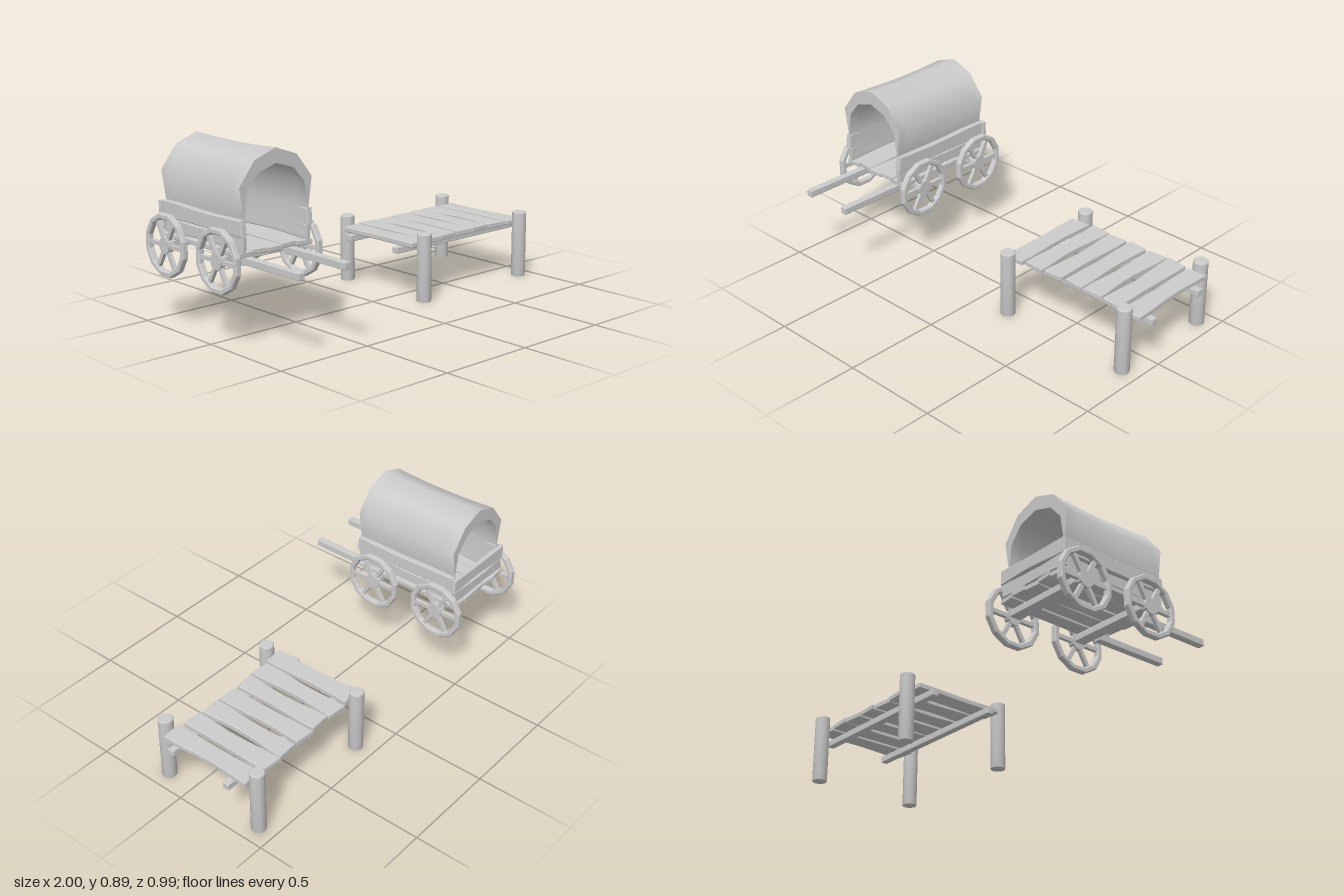
import * as THREE from 'three';
import { toCreasedNormals } from 'three/addons/utils/BufferGeometryUtils.js';
import { RoundedBoxGeometry } from 'three/addons/geometries/RoundedBoxGeometry.js';

const smooth = new THREE.MeshStandardMaterial({ color: 0xcccccc });
const faceted = new THREE.MeshStandardMaterial({ color: 0xcccccc, flatShading: true });

function add(parent, name, geometry, x, y, z, material = faceted) {
  const mesh = new THREE.Mesh(geometry, material);
  mesh.name = name;
  mesh.position.set(x, y, z);
  parent.add(mesh);
  return mesh;
}

const beam = (w, h, d) => new RoundedBoxGeometry(w, h, d, 1, 0.004);

// Hand-cut board: length along y, width along x, thickness along z
function plankGeometry(length, width, thickness, seed, waist = 0.008) {
  const bevel = 0.004, steps = 8, points = [];
  for (const side of [1, -1]) {
    for (let i = 0; i <= steps; i++) {
      const t = side * (2 * i / steps - 1);
      const wave = 0.4 * waist * Math.sin(2.6 * t + seed * 1.7 + side);
      const half = width / 2 - bevel - waist * (0.5 + 0.5 * Math.cos(Math.PI * t)) + wave;
      const skew = 0.004 * side * Math.sin(seed * 2.3);
      points.push(new THREE.Vector2(side * half, t * (length / 2 - bevel) + skew));
    }
  }
  const g = new THREE.ExtrudeGeometry(new THREE.Shape(points), {
    depth: thickness - 2 * bevel, bevelThickness: bevel, bevelSize: bevel, bevelSegments: 1,
  });
  return g.translate(0, 0, bevel - thickness / 2);
}

// Wheel with a twelve-sided rim, six spokes and a hub, axle along x
function createWheel(name) {
  const wheel = new THREE.Group();
  wheel.name = name;
  const rimProfile = [
    [0.126, -0.011], [0.132, -0.016], [0.149, -0.016], [0.154, -0.011],
    [0.154, 0.011], [0.149, 0.016], [0.132, 0.016], [0.126, 0.011], [0.126, -0.011],
  ].map(([r, h]) => new THREE.Vector2(r, h));
  const rim = new THREE.LatheGeometry(rimProfile, 12, Math.PI / 12).rotateZ(Math.PI / 2);
  add(wheel, 'rim', rim, 0, 0, 0);
  for (let i = 0; i < 6; i++) {
    const spoke = new THREE.BoxGeometry(0.018, 0.1, 0.02).translate(0, 0.08, 0);
    add(wheel, 'spoke', spoke, 0, 0, 0).rotation.x = Math.PI / 2 + i * Math.PI / 3;
  }
  const hub = new THREE.CylinderGeometry(0.04, 0.04, 0.03, 12).rotateZ(Math.PI / 2);
  add(wheel, 'hub', hub, 0, 0, 0);
  return wheel;
}

// Arched canvas: cross-sections along z, thick at the crown, thin at the foot
function canvasGeometry(zFront, zBack) {
  const halfOuter = [[-0.178, 0.47], [-0.186, 0.6], [-0.207, 0.74], [-0.12, 0.852]];
  const halfInner = [[-0.172, 0.47], [-0.18, 0.6], [-0.163, 0.72], [-0.1, 0.793]];
  const mirror = (half, top) => [...half, [0, top], ...half.map(([x, y]) => [-x, y]).reverse()];
  const outer = mirror(halfOuter, 0.895);
  const ring = [...outer, ...mirror(halfInner, 0.825).reverse()];
  const n = outer.length, m = ring.length, sections = 10;
  const positions = [], index = [];
  for (let s = 0; s <= sections; s++) {
    const t = s / sections, sag = Math.sin(Math.PI * t);
    for (const [x, y] of ring) {
      const lift = Math.max(0, (y - 0.6) / 0.3);
      positions.push(x * (1 - 0.05 * sag), y - 0.009 * sag * lift, zFront + (zBack - zFront) * t);
    }
  }
  const quad = (a, b, c, d) => index.push(a, b, c, a, c, d);
  for (let s = 0; s < sections; s++) {
    for (let i = 0; i < m; i++) {
      const j = (i + 1) % m, a = s * m, b = a + m;
      quad(a + i, a + j, b + j, b + i);
    }
  }
  const e = sections * m;
  for (let i = 0; i < n - 1; i++) {
    const p = m - 1 - i;
    quad(i, p, p - 1, i + 1);
    quad(e + i, e + i + 1, e + p - 1, e + p);
  }
  const g = new THREE.BufferGeometry();
  g.setAttribute('position', new THREE.Float32BufferAttribute(positions, 3));
  g.setIndex(index);
  return toCreasedNormals(g, 0.95);
}

function createWagon() {
  const wagon = new THREE.Group();
  wagon.name = 'wagon';
  wagon.position.x = -0.748;

  // Wheels and axles
  for (const [end, z] of [['front', 0.05], ['back', -0.345]]) {
    add(wagon, end + 'Axle', beam(0.44, 0.034, 0.06), 0, 0.402, z);
    for (const [side, x] of [['Left', 0.236], ['Right', -0.236]]) {
      const wheel = createWheel(end + side + 'Wheel');
      wheel.position.set(x, 0.395, z);
      wagon.add(wheel);
    }
  }

  // Pulling shafts
  for (const x of [-0.132, 0.132]) add(wagon, 'shaft', beam(0.036, 0.036, 0.42), x, 0.393, 0.29);

  // Floor boards running lengthwise
  for (let i = 0; i < 5; i++) {
    const floor = plankGeometry(0.605, 0.082, 0.026, i + 1, 0.005).rotateX(-Math.PI / 2);
    add(wagon, 'floorBoard', floor, (i - 2) * 0.085, 0.434 + (i % 2) * 0.004, -0.135 - (i % 2) * 0.006);
  }

  // Side walls: two boards each
  const toSide = new THREE.Matrix4().makeBasis(
    new THREE.Vector3(0, 1, 0), new THREE.Vector3(0, 0, 1), new THREE.Vector3(1, 0, 0));
  for (const side of [-1, 1]) {
    const lower = plankGeometry(0.585, 0.07, 0.024, 3, 0.006).applyMatrix4(toSide);
    const upper = plankGeometry(0.59, 0.08, 0.03, 5, 0.006).applyMatrix4(toSide);
    add(wagon, 'lowerSideBoard', lower, side * 0.184, 0.482, -0.115);
    add(wagon, 'upperSideBoard', upper, side * 0.19, 0.555, -0.115);
  }

  // Tailboards
  const lowTail = plankGeometry(0.41, 0.066, 0.022, 2, 0.005).rotateZ(Math.PI / 2);
  const highTail = plankGeometry(0.425, 0.076, 0.024, 4, 0.007).rotateZ(Math.PI / 2);
  add(wagon, 'lowerTailboard', lowTail, 0, 0.485, -0.422);
  add(wagon, 'upperTailboard', highTail, 0, 0.556, -0.423);

  add(wagon, 'canvasCover', canvasGeometry(0.175, -0.41), 0, 0, 0, smooth);
  return wagon;
}

function createDock() {
  const dock = new THREE.Group();
  dock.name = 'dock';

  // Corner posts with a softened top edge
  const postProfile = [[0, 0], [0.036, 0], [0.037, 0.004], [0.037, 0.342], [0.032, 0.348], [0, 0.348]]
    .map(([r, y]) => new THREE.Vector2(r, y));
  const post = toCreasedNormals(new THREE.LatheGeometry(postProfile, 20), 0.6);
  for (const [x, z] of [[0.195, 0.165], [0.195, -0.402], [0.91, 0.157], [0.91, -0.41]]) {
    add(dock, 'post', post, x, 0, z, smooth);
  }

  // Long rails under the deck
  for (const z of [0.045, -0.297]) add(dock, 'rail', beam(0.89, 0.034, 0.036), 0.553, 0.253, z);

  // Deck planks: centre x, back z, front z
  const planks = [
    [0.194, -0.37, 0.125], [0.314, -0.385, 0.112], [0.433, -0.375, 0.106], [0.553, -0.385, 0.102],
    [0.672, -0.385, 0.102], [0.79, -0.39, 0.108], [0.911, -0.382, 0.12],
  ];
  planks.forEach(([x, back, front], i) => {
    const g = plankGeometry(front - back, 0.106, 0.028, i * 1.3 + 1, 0.009).rotateX(-Math.PI / 2);
    add(dock, 'deckPlank', g, x, 0.284, (back + front) / 2);
  });
  return dock;
}

export function createModel() {
  const model = new THREE.Group();
  model.name = 'wagonAndDock';
  model.add(createWagon(), createDock());
  return model;
}
